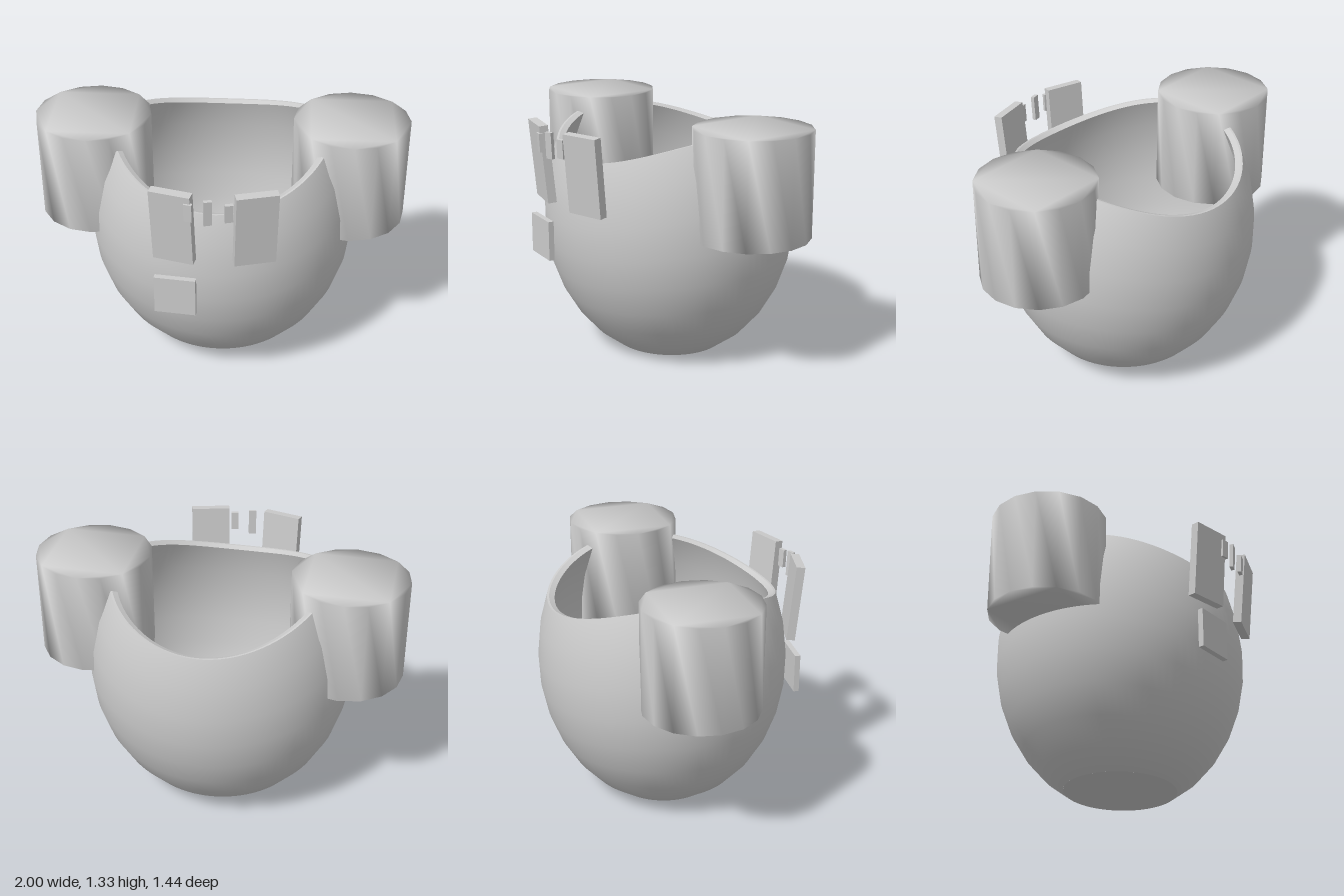
import * as THREE from 'three';
import { ParametricGeometry } from 'three/addons/geometries/ParametricGeometry.js';
import { mergeVertices } from 'three/addons/utils/BufferGeometryUtils.js';

const CY = 0.74, CZ = -0.04, RX = 0.72, RZ = 0.678;
const LOW = 0.826, HIGH = 0.92;            // vertical radii below and above the widest line
const PHI0 = -Math.asin(CY / LOW);         // latitude of the flat base

const grey = new THREE.MeshStandardMaterial({ color: 0xcccccc });
const greyDouble = new THREE.MeshStandardMaterial({ color: 0xcccccc, side: THREE.DoubleSide });

function add(parent, name, geometry, material = grey) {
  const mesh = new THREE.Mesh(geometry, material);
  mesh.name = name;
  parent.add(mesh);
  return mesh;
}

// latitude of the arched rim at angle a
function rimLatitude(a) {
  let y = 1.2;
  for (let i = 0; i < 12; i++) {
    const s = (y - CY) / HIGH;
    const z = RZ * Math.sqrt(1 - s * s) * Math.cos(a);
    y = 1.274 - 0.41 * z * z;
  }
  return Math.asin((y - CY) / HIGH);
}

// point on the egg-shaped bowl, shrunk sideways by k and lowered by drop
function bowlPoint(a, phi, k, drop, out) {
  const r = Math.cos(phi) * k;
  const y = CY + Math.sin(phi) * (phi < 0 ? LOW : HIGH) - drop;
  return out.set(RX * r * Math.sin(a), y, CZ + RZ * r * Math.cos(a));
}

// wall of the bowl; inset grows from nothing at the base to the given value at the rim
function wall(inset, drop) {
  return new ParametricGeometry((u, v, out) => {
    const a = u * Math.PI * 2;
    const phi = THREE.MathUtils.lerp(PHI0, rimLatitude(a), v);
    bowlPoint(a, phi, 1 - inset * Math.min(1, v * 2), drop * v, out);
  }, 96, 8);
}

// band of the rim between two insets
function rimBand(k0, d0, k1, d1) {
  return new ParametricGeometry((u, v, out) => {
    const a = u * Math.PI * 2;
    bowlPoint(a, rimLatitude(a), THREE.MathUtils.lerp(k0, k1, v), THREE.MathUtils.lerp(d0, d1, v), out);
  }, 96, 1);
}

// sixteen-sided drum with soft shading running over its edges
function podGeometry(radius, height) {
  const points = [];
  for (let i = 0; i < 16; i++) {
    const a = (i / 16) * Math.PI * 2;
    points.push(new THREE.Vector2(Math.cos(a) * radius, Math.sin(a) * radius));
  }
  const g = new THREE.ExtrudeGeometry(new THREE.Shape(points), { depth: height, bevelEnabled: false, steps: 1 });
  g.rotateX(-Math.PI / 2);
  g.deleteAttribute('normal');
  g.deleteAttribute('uv');
  const merged = mergeVertices(g);
  merged.computeVertexNormals();
  return merged;
}

function plate(parent, name, size, position, yaw, lean = 0) {
  const mesh = add(parent, name, new THREE.BoxGeometry(...size));
  mesh.position.set(...position);
  mesh.rotation.set(lean, yaw, 0, 'YXZ');
}

export function createModel() {
  const model = new THREE.Group();
  model.name = 'bowlBody';

  // Bowl shell with a stepped rim
  const bowl = new THREE.Group();
  bowl.name = 'bowl';
  model.add(bowl);
  add(bowl, 'outerWall', wall(0, 0), greyDouble);
  add(bowl, 'innerWall', wall(0.065, 0.012), greyDouble);
  add(bowl, 'rimEdge', rimBand(1, 0, 0.982, 0), greyDouble);
  add(bowl, 'rimLedge', rimBand(0.982, 0, 0.935, 0.012), greyDouble);

  // Flat base facing down
  const base = new THREE.CircleGeometry(1, 64);
  base.rotateX(Math.PI / 2);
  base.scale(RX * Math.cos(PHI0), 1, RZ * Math.cos(PHI0));
  add(bowl, 'base', base).position.set(0, 0, CZ);

  // Drum pods and tall front panels, one per side
  const pod = podGeometry(0.31, 0.565);
  for (const [side, s] of [['left', 1], ['right', -1]]) {
    add(model, side + 'Pod', pod).position.set(0.69 * s, 0.765, -0.055);
    plate(model, side + 'FrontPanel', [0.215, 0.42, 0.047], [0.207 * s, 1.088, 0.643], 0.26 * s, 0.09);
  }

  // Small square plate and the three slim blocks at the front
  plate(model, 'squarePlate', [0.216, 0.216, 0.03], [-0.2, 0.67, 0.657], -0.11);
  plate(model, 'rightBlock', [0.042, 0.1, 0.02], [-0.122, 1.21, 0.703], -0.25, 0.05);
  plate(model, 'middleBlock', [0.042, 0.14, 0.02], [-0.027, 1.21, 0.702], 0.25, 0.05);
  plate(model, 'leftBlock', [0.042, 0.1, 0.02], [0.076, 1.21, 0.698], 0.25, 0.05);

  return model;
}
